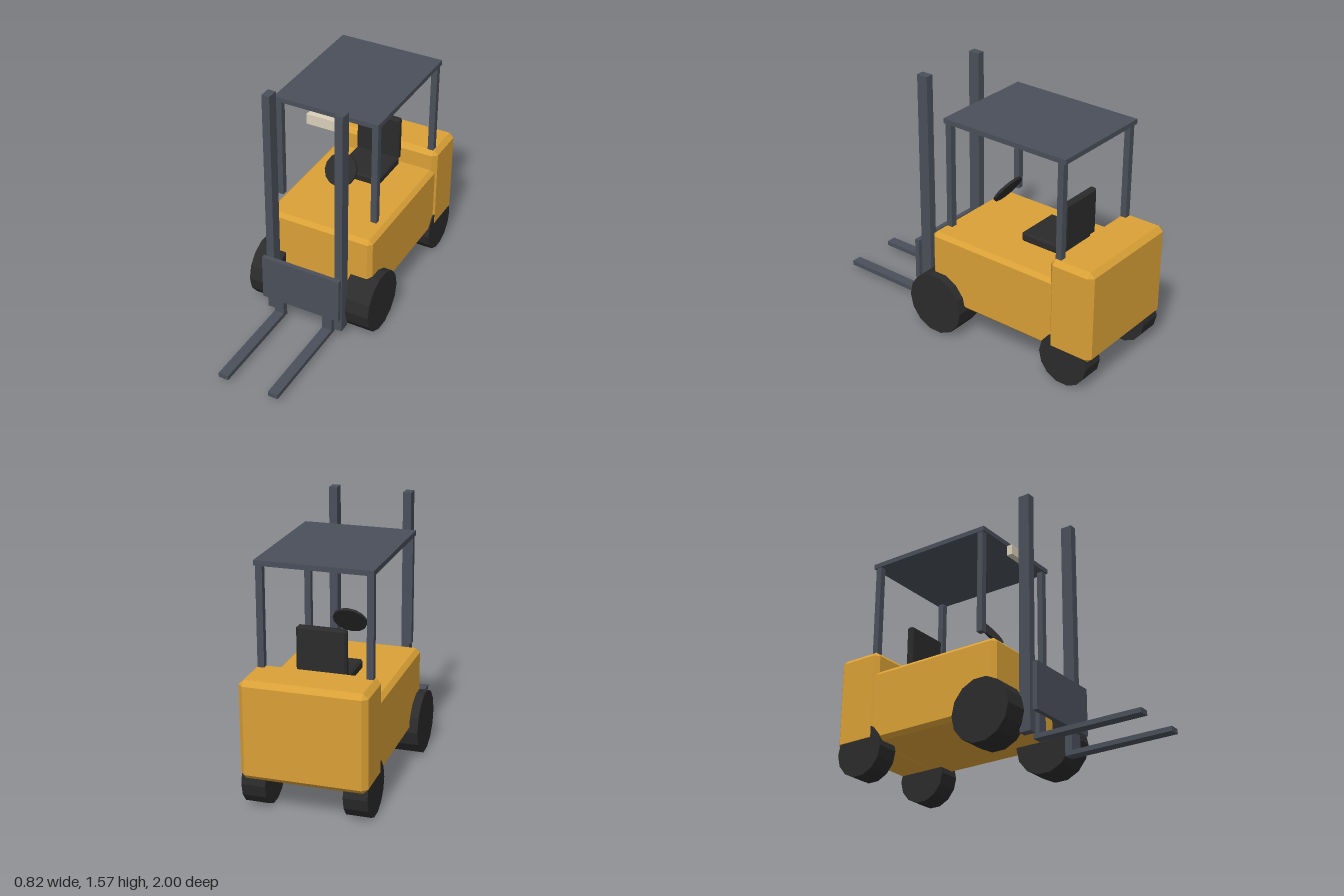
import * as THREE from 'three';
import { ConvexGeometry } from 'three/addons/geometries/ConvexGeometry.js';

const material = (name, color) => Object.assign(new THREE.MeshStandardMaterial({ color }), { name });

// Box from min/max ranges, optionally with every edge chamfered.
function boxGeometry([x0, x1], [y0, y1], [z0, z1], chamfer = 0) {
  const size = [x1 - x0, y1 - y0, z1 - z0];
  let geometry;
  if (chamfer) {
    const points = [];
    for (const sx of [-1, 1]) for (const sy of [-1, 1]) for (const sz of [-1, 1]) {
      for (let full = 0; full < 3; full++) {
        const p = [sx, sy, sz].map((s, i) => s * (size[i] / 2 - (i === full ? 0 : chamfer)));
        points.push(new THREE.Vector3(...p));
      }
    }
    geometry = new ConvexGeometry(points);
  } else {
    geometry = new THREE.BoxGeometry(...size);
  }
  return geometry.translate((x0 + x1) / 2, (y0 + y1) / 2, (z0 + z1) / 2);
}

export function createModel() {
  const group = new THREE.Group();
  group.name = 'forklift';

  const yellow = material('yellow paint', 0xd9a036);
  const steel = material('slate steel', 0x4a4f5a);
  const black = material('black rubber', 0x2b2b2b);
  black.flatShading = true;
  const cream = material('lamp cream', 0xd9cfb8);

  const add = (name, geometry, mat) => {
    const mesh = new THREE.Mesh(geometry, mat);
    mesh.name = name;
    group.add(mesh);
    return mesh;
  };
  const box = (name, mat, x, y, z, chamfer) => add(name, boxGeometry(x, y, z, chamfer), mat);

  // Bodywork
  box('body', yellow, [-0.357, 0.357], [0.2, 0.65], [-0.75, 0.163], 0.025);
  box('counterweight', yellow, [-0.368, 0.368], [0.2, 0.785], [-1, -0.705], 0.03);

  // Seat and steering wheel
  box('seatCushion', black, [-0.147, 0.147], [0.675, 0.735], [-0.635, -0.345], 0.012);
  box('seatBack', black, [-0.147, 0.147], [0.716, 1.01], [-0.665, -0.617], 0.012);
  const steering = add('steeringWheel', new THREE.CylinderGeometry(0.104, 0.104, 0.016, 14), black);
  steering.position.set(0, 0.885, -0.13);
  steering.rotation.x = 0.955;

  // Overhead guard and lamp
  box('roof', steel, [-0.34, 0.34], [1.375, 1.405], [-0.785, 0.067]);
  box('lamp', cream, [-0.1, 0.1], [1.31, 1.375], [0.065, 0.105]);

  // Lifting carriage
  box('carriagePlate', steel, [-0.26, 0.26], [0.18, 0.475], [0.355, 0.385]);

  // Parts repeated on both sides
  for (const [label, s] of [['left', 1], ['right', -1]]) {
    const span = (a, b) => (s > 0 ? [a, b] : [-b, -a]);

    box(label + 'FrontPost', steel, span(0.296, 0.335), [0.72, 1.38], [0.018, 0.056]);
    box(label + 'RearPost', steel, span(0.296, 0.335), [0.72, 1.38], [-0.77, -0.732]);
    box(label + 'Mast', steel, span(0.206, 0.256), [0.067, 1.575], [0.262, 0.335]);
    box(label + 'ForkShank', steel, span(0.134, 0.198), [0.037, 0.41], [0.315, 0.356]);
    box(label + 'Fork', steel, span(0.134, 0.198), [0.037, 0.066], [0.315, 1]);

    for (const [end, radius, inner, outer, z] of [
      ['Front', 0.195, 0.225, 0.41, 0.1],
      ['Rear', 0.163, 0.225, 0.366, -0.817],
    ]) {
      const geometry = new THREE.CylinderGeometry(radius, radius, outer - inner, 14).rotateZ(Math.PI / 2);
      const wheel = add(label + end + 'Wheel', geometry, black);
      wheel.position.set(s * (inner + outer) / 2, radius, z);
    }
  }
  return group;
}
